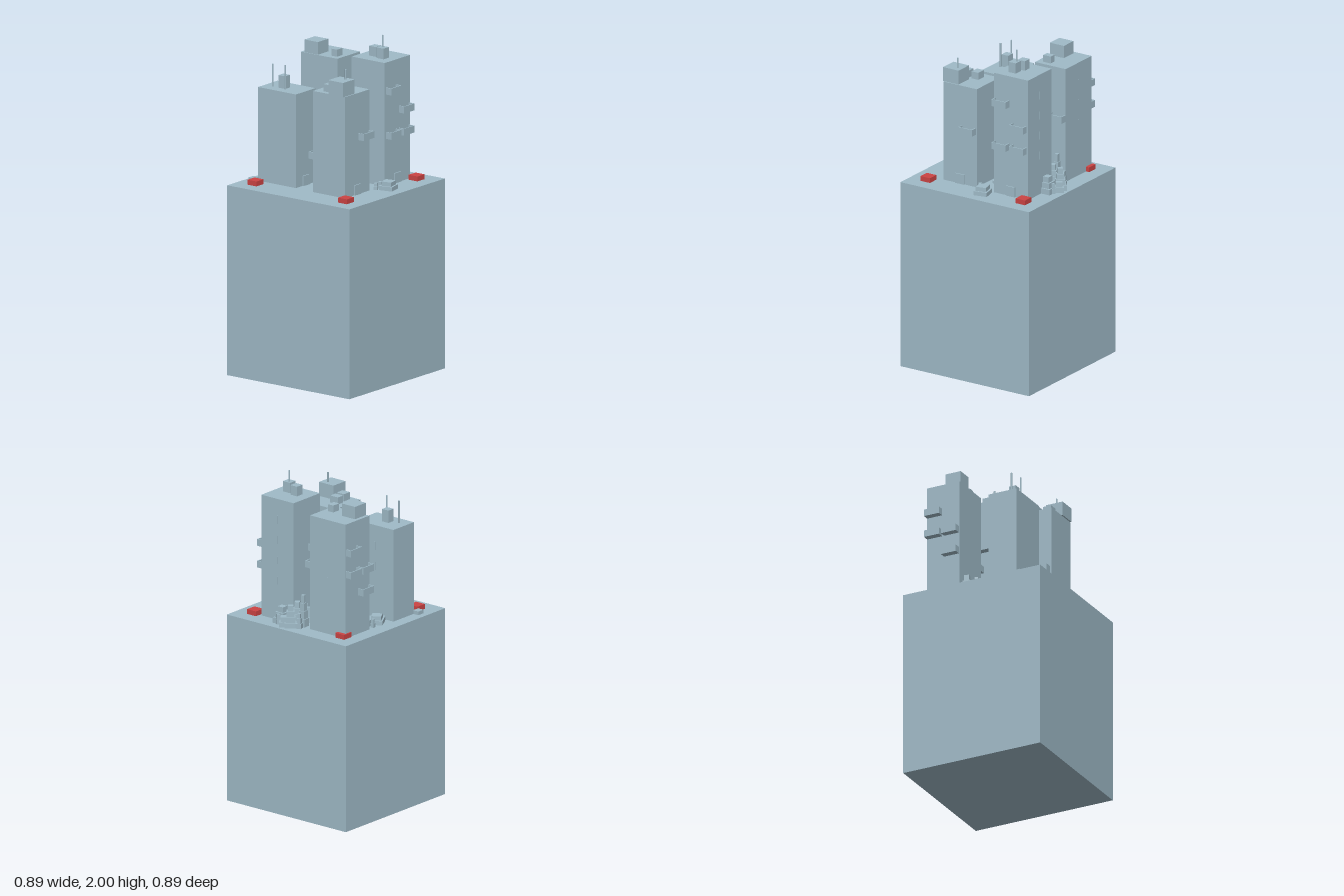
import * as THREE from 'three';

export function createModel() {
  const model = new THREE.Group();
  const stone = new THREE.MeshStandardMaterial({ color: 0x9fbac7 });
  stone.name = 'blue grey';
  const red = new THREE.MeshStandardMaterial({ color: 0xcc4444 });
  red.name = 'red';
  const G = 1.132; // ground level of the city

  // box standing on y, centred on x and z
  function box(name, x, y, z, w, h, d, parent = model, mat = stone) {
    const m = new THREE.Mesh(new THREE.BoxGeometry(w, h, d), mat);
    m.position.set(x, y + h / 2, z);
    m.name = name;
    parent.add(m);
  }

  // thin roof mast
  function antenna(x, z, y, h) {
    const m = new THREE.Mesh(new THREE.CylinderGeometry(0.005, 0.005, h, 8), stone);
    m.position.set(x, y + h / 2, z);
    m.name = 'antenna';
    model.add(m);
  }

  // open tray balconies, one above another; dir is the z side they face
  function balconies(x, wallZ, dir, heights) {
    const w = 0.097, d = 0.04, t = 0.006;
    for (const y of heights) {
      const g = new THREE.Group();
      g.name = 'balcony';
      box('balconyFloor', 0, 0, d / 2, w, 0.01, d, g);
      box('balconyFront', 0, 0.01, d - t / 2, w, 0.031, t, g);
      for (const s of [-1, 1]) box('balconySide', s * (w - t) / 2, 0.01, (d - t) / 2, t, 0.031, d - t, g);
      g.position.set(x, y, wallZ);
      g.rotation.y = dir > 0 ? 0 : Math.PI;
      model.add(g);
    }
  }

  // stepped small building made of shrinking tiers
  function steppedBlock(x, z, w, deg, h) {
    const g = new THREE.Group();
    g.name = 'steppedBlock';
    const tiers = h > 0.11 ? 4 : h > 0.06 ? 3 : 2;
    for (let i = 0; i < tiers; i++) {
      const s = w * (1 - i * 0.75 / Math.max(tiers, 3));
      box('tier', 0, h * i / tiers, 0, s, h / tiers, s, g);
    }
    g.position.set(x, G, z);
    g.rotation.y = THREE.MathUtils.degToRad(deg);
    model.add(g);
  }

  // tower with a door plate, side slit windows and roof rooms [x, z, w, d, h]
  function tower(x, z, w, d, top, rooms) {
    box('tower', x, G, z, w, top - G, d);
    box('door', x, G, z + d / 2 + 0.0035, 0.06, 0.06, 0.007);
    for (let y = top - 0.15; y > G + 0.2; y -= 0.123) {
      box('slitWindow', x + w / 2 + 0.001, y, z, 0.002, 0.048, 0.006);
    }
    for (const [rx, rz, rw, rd, rh] of rooms) box('roofRoom', rx, top, rz, rw, rh, rd);
  }

  // plinth with red pads at its corners and centre
  box('plinth', 0, 0, 0, 0.894, G, 0.894);
  box('redPad', 0, G, 0, 0.066, 0.029, 0.066, model, red);
  for (const x of [-0.331, 0.331]) {
    for (const z of [-0.331, 0.331]) box('redPad', x, G, z, 0.066, 0.029, 0.066, model, red);
  }

  // back right-hand tower with low annexes at its foot
  tower(-0.162, -0.234, 0.184, 0.278, 1.69, [[-0.171, -0.246, 0.045, 0.048, 0.075]]);
  antenna(-0.19, -0.315, 1.69, 0.135);
  antenna(-0.198, -0.216, 1.69, 0.145);
  box('annex', -0.273, G, -0.39, 0.047, 0.022, 0.04);
  box('annex', -0.056, G, -0.294, 0.028, 0.022, 0.048);

  // back left-hand tower
  tower(0.234, -0.223, 0.214, 0.266, 1.825, [
    [0.181, -0.285, 0.098, 0.098, 0.075], [0.19, -0.14, 0.053, 0.04, 0.042],
  ]);
  balconies(0.29, -0.356, -1, [1.633, 1.5]);
  balconies(0.18, -0.356, -1, [1.5, 1.367]);
  balconies(0.29, -0.09, 1, [1.5]);
  balconies(0.18, -0.09, 1, [1.367]);

  // front right-hand tower
  tower(-0.149, 0.155, 0.231, 0.235, 1.735, [
    [-0.207, 0.117, 0.053, 0.053, 0.043], [-0.137, 0.109, 0.047, 0.058, 0.043],
    [-0.219, 0.211, 0.108, 0.108, 0.085],
  ]);
  antenna(-0.198, 0.225, 1.82, 0.06);
  balconies(-0.089, 0.272, 1, [1.453]);
  balconies(-0.206, 0.037, -1, [1.323]);
  balconies(-0.089, 0.037, -1, [1.413]);

  // front left-hand tower, the tallest
  tower(0.212, 0.163, 0.238, 0.242, 1.867, [
    [0.198, 0.132, 0.05, 0.05, 0.058], [0.181, 0.2, 0.05, 0.053, 0.063],
  ]);
  antenna(0.19, 0.193, 1.93, 0.07);
  balconies(0.152, 0.284, 1, [1.677, 1.413]);
  balconies(0.273, 0.284, 1, [1.545, 1.413]);
  balconies(0.152, 0.042, -1, [1.545]);

  // stepped blocks between the back towers: x, z, width, turn, height
  for (const b of [
    [0.01, -0.315, 0.08, 30, 0.05], [0.082, -0.346, 0.02, 10, 0.05],
    [0.108, -0.298, 0.06, 10, 0.11], [0.065, -0.273, 0.042, 35, 0.1],
    [0.038, -0.246, 0.026, 20, 0.06], [0.118, -0.246, 0.035, 40, 0.08],
    [0.008, -0.15, 0.075, 25, 0.12], [0.09, -0.185, 0.09, 35, 0.06],
    [0.058, -0.097, 0.06, 55, 0.11],
  ]) steppedBlock(...b);

  // stepped blocks around the tallest tower
  for (const b of [
    [0.115, 0, 0.08, -3, 0.05], [0.202, -0.02, 0.043, 45, 0.1],
    [0.245, 0, 0.037, 40, 0.09], [0.235, 0.035, 0.05, 40, 0.1],
    [0.324, -0.025, 0.045, 5, 0.19], [0.324, 0.02, 0.07, 30, 0.14],
    [0.379, 0.025, 0.072, 40, 0.13], [0.367, -0.03, 0.034, 20, 0.09],
    [0.386, 0.11, 0.026, 45, 0.06], [0.35, 0.11, 0.08, 0, 0.1],
    [0.395, 0.06, 0.055, 35, 0.06],
  ]) steppedBlock(...b);

  // low blocks and crates in the front lane
  steppedBlock(0.055, 0.342, 0.083, 12, 0.05);
  steppedBlock(0.002, 0.29, 0.024, 30, 0.04);
  steppedBlock(0.043, 0.29, 0.024, 10, 0.04);
  steppedBlock(0.019, 0.1, 0.038, -30, 0.04);
  box('crate', 0.01, G, 0.158, 0.012, 0.015, 0.011);
  box('crate', 0.053, G, 0.138, 0.013, 0.015, 0.013);

  return model;
}
